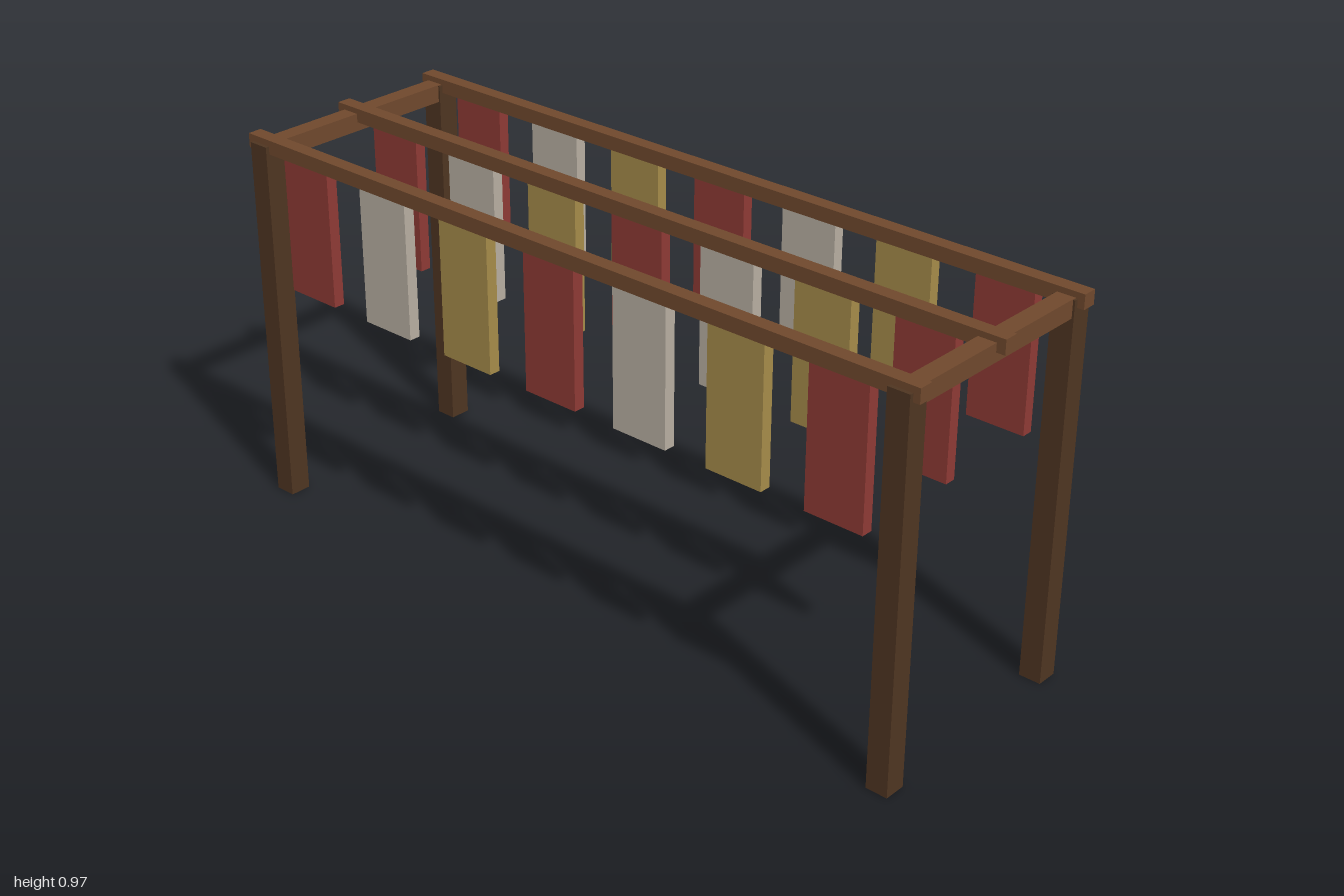
import * as THREE from 'three';

const material = (name, color) => {
  const m = new THREE.MeshStandardMaterial({ color });
  m.name = name;
  return m;
};

export function createModel() {
  const model = new THREE.Group();
  model.name = 'bannerFrame';

  const darkWood = material('darkWood', 0x4f3521);
  const wood = material('wood', 0x70492d);
  const red = material('redCloth', 0x8f3a35);
  const cream = material('creamCloth', 0xb8afa2);
  const ochre = material('ochreCloth', 0xa68c4a);
  const cloths = [red, cream, ochre];

  const box = (name, mat, size, pos) => {
    const mesh = new THREE.Mesh(new THREE.BoxGeometry(...size), mat);
    mesh.name = name;
    mesh.position.set(...pos);
    model.add(mesh);
  };

  const postX = 0.955, rowZ = 0.286;

  for (const x of [-postX, postX]) {
    // Corner posts
    for (const z of [-rowZ, rowZ]) {
      box('post', darkWood, [0.056, 0.956, 0.056], [x, 0.478, z]);
    }
    // Beam joining the front and back posts
    box('crossBeam', wood, [0.046, 0.045, 2 * rowZ], [x, 0.9355, 0]);
  }

  for (const z of [-rowZ, 0, rowZ]) {
    // Long rail along the top
    box('rail', wood, [2, 0.036, 0.037], [0, 0.954, z]);
    // Hanging cloths, repeating red, cream, ochre
    for (let i = 0; i < 7; i++) {
      box('banner', cloths[i % 3], [0.152, 0.35, 0.029], [(i - 3) * 0.267, 0.767, z]);
    }
  }

  return model;
}
